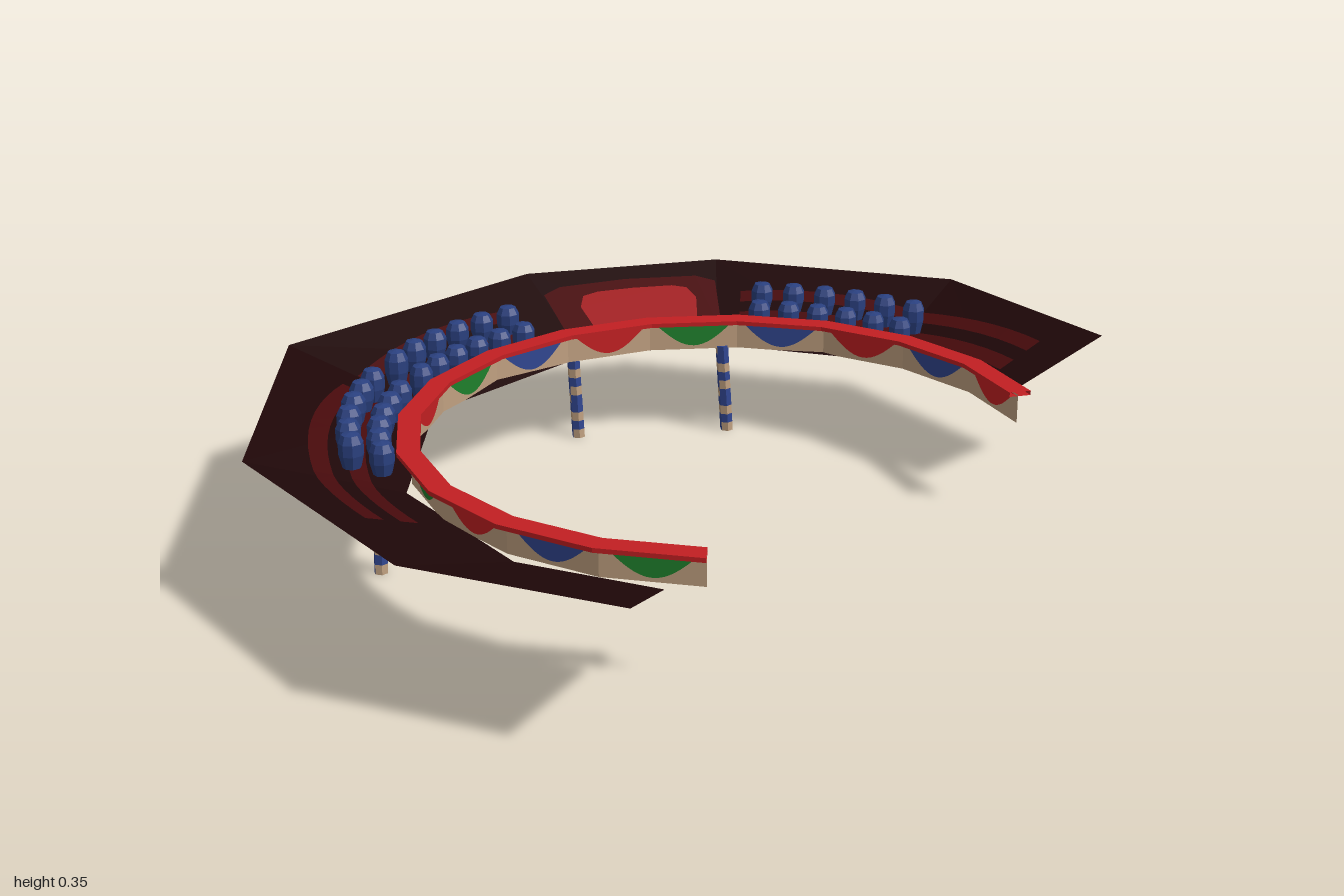
import * as THREE from 'three';

const mat = (name, color) => {
  const m = new THREE.MeshStandardMaterial({ color, side: THREE.DoubleSide, flatShading: true });
  m.name = name;
  return m;
};

const CX = 0.03, CZ = 0.03;            // centre of the ring
const INNER_Y = 0.22, OUTER_Y = 0.335, INNER_R = 0.7;
// corners of the outer edge of the stand (x, z)
const OUTER = [[0.995, -0.165], [0.805, -0.655], [0.28, -0.965], [-0.21, -0.97],
  [-0.84, -0.585], [-1, 0.1], [-0.77, 0.675], [-0.395, 0.96]];
const INNER = OUTER.map(([x, z]) => {
  const k = INNER_R / Math.hypot(x - CX, z - CZ);
  return [CX + (x - CX) * k, CZ + (z - CZ) * k];
});

// point on the ring, angle in degrees measured from +x towards the back
const polar = (r, deg, y) => {
  const a = THREE.MathUtils.degToRad(deg);
  return [CX + r * Math.cos(a), y, CZ - r * Math.sin(a)];
};

// distance from the centre to a polygon edge in a direction
function reach([ax, az], [bx, bz], dx, dz) {
  const ex = bx - ax, ez = bz - az;
  return ((ax - CX) * ez - (az - CZ) * ex) / (dx * ez - dz * ex);
}

// height of the sloping stand at a point
function standY(x, z) {
  const r = Math.hypot(x - CX, z - CZ), dx = (x - CX) / r, dz = (z - CZ) / r;
  const angle = (px, pz) => (Math.atan2(CZ - pz, px - CX) + Math.PI * 2) % (Math.PI * 2);
  let i = 0;
  while (i < OUTER.length - 2 && angle(...OUTER[i + 1]) < angle(x, z)) i++;
  const a = reach(INNER[i], INNER[i + 1], dx, dz), b = reach(OUTER[i], OUTER[i + 1], dx, dz);
  return INNER_Y + (OUTER_Y - INNER_Y) * (r - a) / (b - a);
}

// surface through rows of points
function loft(rows) {
  const n = rows[0].length, index = [];
  for (let i = 0; i < rows.length - 1; i++) {
    for (let j = 0; j < n - 1; j++) {
      const a = i * n + j, b = a + n;
      index.push(a, b, a + 1, b, b + 1, a + 1);
    }
  }
  const g = new THREE.BufferGeometry();
  g.setAttribute('position', new THREE.Float32BufferAttribute(rows.flat(2), 3));
  g.setIndex(index);
  g.computeVertexNormals();
  return g;
}

export function createModel() {
  const model = new THREE.Group();
  const dark = mat('dark maroon', 0x1e0708), step = mat('step maroon', 0x470a0c);
  const boxRed = mat('box red', 0xa01d20), red = mat('red', 0xc21f22);
  const beige = mat('beige', 0xc0a080), green = mat('green', 0x1f7f2c);
  const blue = mat('blue', 0x314690), seatBlue = mat('seat blue', 0x2a407f);
  const add = (name, geometry, material, parent = model) => {
    const m = new THREE.Mesh(geometry, material);
    m.name = name;
    parent.add(m);
    return m;
  };

  // sloping stand
  add('stand', loft(OUTER.map(([x, z], i) =>
    [[x, OUTER_Y, z], [INNER[i][0], INNER_Y, INNER[i][1]]])), dark);

  // curved steps lying on the stand
  for (const [from, to] of [[18, 72], [112, 145], [150, 203]]) {
    for (const r of [0.79, 0.868]) {
      const rows = [];
      for (let i = 0; i <= 16; i++) {
        rows.push([r + 0.02, r - 0.02].map((q) => {
          const p = polar(q, from + (to - from) * i / 16, 0);
          p[1] = standY(p[0], p[2]) + 0.004;
          return p;
        }));
      }
      add('step', loft(rows), step);
    }
  }

  // box of honour, seen on both sides of the stand
  const onStand = (name, outline, offset, material) => {
    const g = new THREE.ShapeGeometry(new THREE.Shape(outline.map(([x, z]) => new THREE.Vector2(x, -z))));
    const p = g.attributes.position;
    for (let i = 0; i < p.count; i++) {
      const x = p.getX(i), z = -p.getY(i);
      p.setXYZ(i, x, standY(x, z) + offset, z);
    }
    g.computeVertexNormals();
    add(name, g, material);
  };
  const boxOutline = [[-0.15, -0.675], [-0.185, -0.88], [-0.14, -0.905], [0.03, -0.915],
    [0.21, -0.905], [0.255, -0.88], [0.22, -0.675]];
  const carpetOutline = [[-0.055, -0.675], [-0.085, -0.73], [-0.105, -0.82], [-0.09, -0.86], [-0.05, -0.872],
    [0.04, -0.875], [0.14, -0.872], [0.175, -0.86], [0.19, -0.82], [0.17, -0.73], [0.14, -0.675]];
  for (const s of [1, -1]) {
    onStand('honourBox', boxOutline, 0.003 * s, step);
    onStand('honourCarpet', carpetOutline, 0.006 * s, boxRed);
  }

  // ring wall with one hanging scallop per panel
  const SEG = 14, STEP = 18, WALL_R = 0.68, TOP = 0.287;
  const angles = Array.from({ length: SEG + 1 }, (_, i) => i * STEP);
  add('ringWall', loft(angles.map((a) => [polar(WALL_R, a, TOP), polar(WALL_R, a, INNER_Y)])), beige);
  const half = 0.092, drop = 0.055, outline = [];
  for (let i = -8; i <= 8; i++) {
    outline.push(new THREE.Vector2(half * i / 8, -drop * Math.cos(Math.PI * i / 16)));
  }
  const scallop = new THREE.ShapeGeometry(new THREE.Shape(outline));
  const colours = { R: red, G: green, B: blue };
  [...'RBRBGRBGRBGRBG'].forEach((key, i) => {
    const mid = (i + 0.5) * STEP, apothem = WALL_R * Math.cos(THREE.MathUtils.degToRad(STEP / 2));
    for (const off of [-0.003, 0.003]) {
      const m = add('scallop', scallop, colours[key]);
      m.position.set(...polar(apothem + off, mid, TOP - 0.002));
      m.rotation.y = THREE.MathUtils.degToRad(mid + 90);
    }
  });

  // padded cap on the wall
  const capProfile = [[0.71, 0.284], [0.71, 0.294], [0.66, 0.294], [0.66, 0.284], [0.71, 0.284]];
  add('wallCap', loft(angles.map((a) => capProfile.map(([r, y]) => polar(r, a, y)))), red);

  // two rows of seats in three blocks
  const seatShape = (h) => new THREE.LatheGeometry(
    [[0, 0.01], [0.02, 0.01], [0.027, h * 0.45], [0.027, h * 0.75], [0.019, h * 0.95], [0, h]]
      .map(([x, y]) => new THREE.Vector2(x, y)), 8);
  for (const start of [40, 115, 152]) {
    const block = new THREE.Group();
    block.name = 'seatBlock';
    model.add(block);
    for (const [r, top] of [[0.74, 0.323], [0.803, 0.349]]) {
      for (let i = 0; i < 6; i++) {
        const [x, , z] = polar(r, start + i * 5.6, 0), y = standY(x, z);
        add('seat', seatShape(top - y), seatBlue, block).position.set(x, y, z);
      }
    }
  }

  // striped poles, bottom and top as x, z
  const SIDES = 6, ROWS = 10;
  for (const [bx, bz, tx, tz] of [[-0.72, -0.02, -0.71, -0.03], [-0.65, -0.295, -0.65, -0.285],
    [-0.145, -0.685, -0.155, -0.685], [0.22, -0.638, 0.205, -0.63]]) {
    const g = new THREE.CylinderGeometry(0.016, 0.016, 0.225, SIDES, ROWS);
    g.clearGroups();
    for (let s = 0; s < SIDES; s++) {
      for (let r = 0; r < ROWS; r++) {
        g.addGroup((s * ROWS + r) * 6, 6, (s + 2 * r) % 5 < 3 ? 0 : 1);
      }
    }
    g.addGroup(SIDES * ROWS * 6, SIDES * 6, 0);
    const p = g.attributes.position;
    for (let i = 0; i < p.count; i++) {
      const t = p.getY(i) / 0.225 + 0.5;
      p.setXYZ(i, p.getX(i) + bx + (tx - bx) * t, t * 0.225, p.getZ(i) + bz + (tz - bz) * t);
    }
    add('pole', g, [blue, beige]);
  }
  return model;
}
